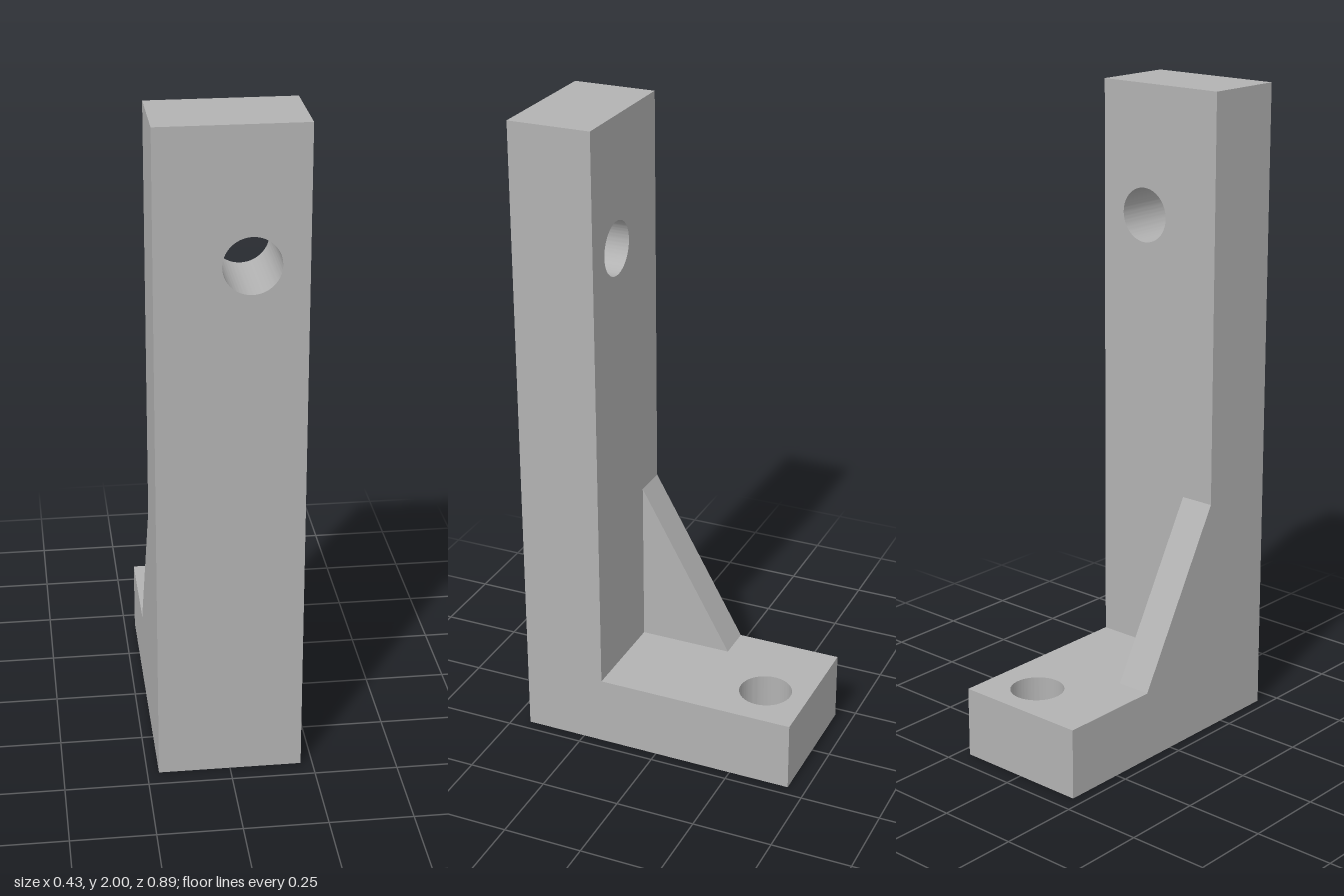
import * as THREE from 'three';
import { toCreasedNormals } from 'three/addons/utils/BufferGeometryUtils.js';

const HALF_W = 0.215;
const BACK = -0.443, FRONT = 0.443, WALL = 0.185; // z planes
const BASE_H = 0.22, HEIGHT = 2;

// Polygon with an optional round hole, extruded along z
function plate(points, depth, hole) {
  const shape = new THREE.Shape(points.map(([x, y]) => new THREE.Vector2(x, y)));
  if (hole) {
    const path = new THREE.Path();
    path.absarc(hole.x, hole.y, hole.r, 0, Math.PI * 2, true);
    shape.holes.push(path);
  }
  const geo = new THREE.ExtrudeGeometry(shape, { depth, bevelEnabled: false, curveSegments: 48 });
  return toCreasedNormals(geo, Math.PI / 6);
}

const rect = (x0, y0, x1, y1) => [[x0, y0], [x1, y0], [x1, y1], [x0, y1]];

export function createModel() {
  const group = new THREE.Group();
  group.name = 'angleBracket';
  const metal = new THREE.MeshStandardMaterial({ color: 0xb2b2b2 });
  metal.name = 'grey metal';

  const add = (name, geo) => {
    const mesh = new THREE.Mesh(geo, metal);
    mesh.name = name;
    group.add(mesh);
  };

  // Tall upright with a hole from front to back
  const upright = plate(rect(-HALF_W, 0, HALF_W, HEIGHT), FRONT - WALL, { x: 0.056, y: 1.605, r: 0.083 });
  upright.translate(0, 0, WALL);
  add('upright', upright);

  // Foot behind the upright with a vertical hole
  const foot = plate(rect(-HALF_W, -WALL, HALF_W, -BACK), BASE_H, { x: 0.058, y: 0.304, r: 0.082 });
  foot.rotateX(-Math.PI / 2);
  add('foot', foot);

  // Triangular brace along the right edge
  const brace = plate([[WALL, BASE_H], [WALL, 0.745], [-0.11, BASE_H]], 0.11);
  brace.rotateY(-Math.PI / 2);
  brace.translate(-HALF_W + 0.11, 0, 0);
  add('brace', brace);

  return group;
}
